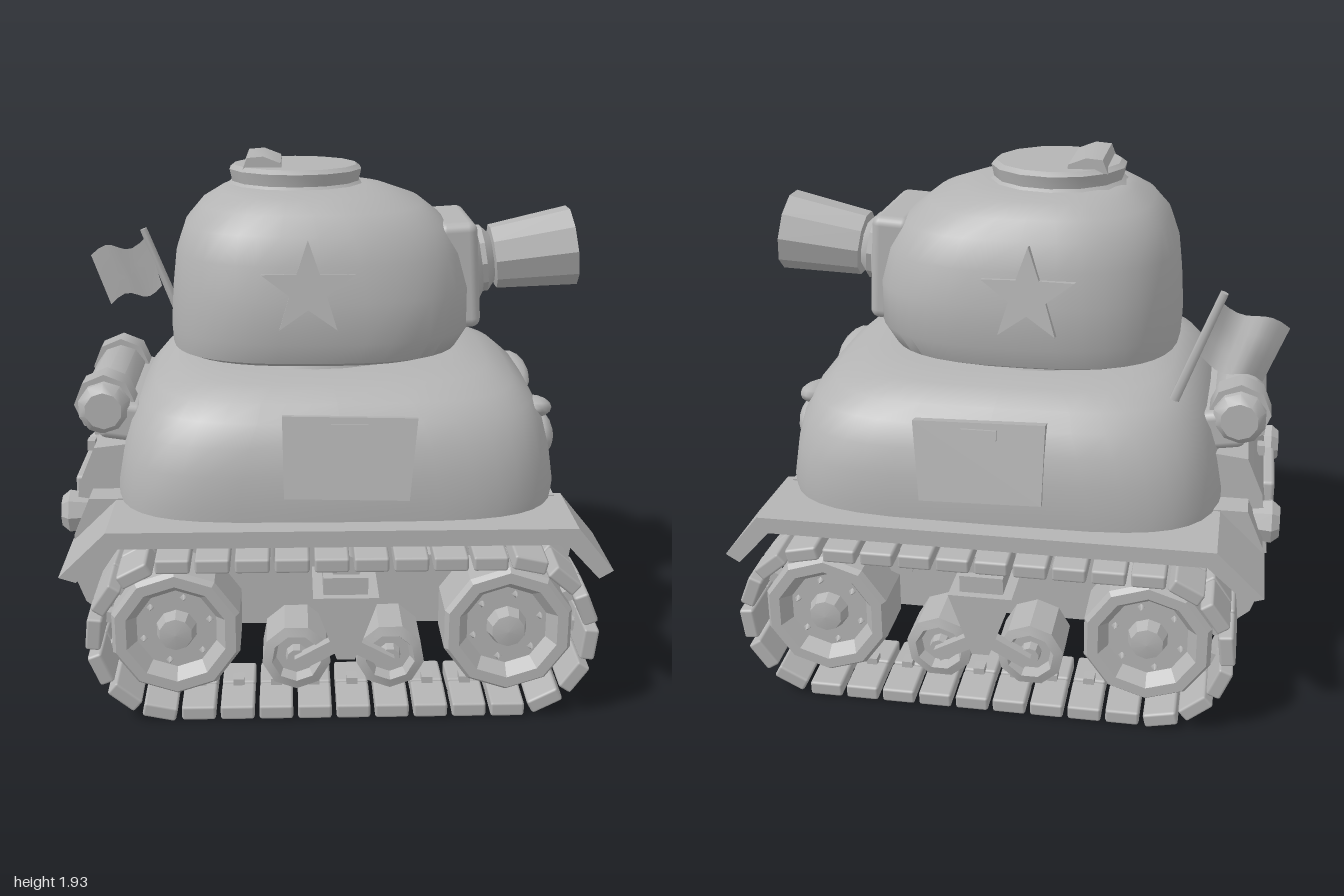
import * as THREE from 'three';
import { toCreasedNormals } from 'three/addons/utils/BufferGeometryUtils.js';
import { RoundedBoxGeometry } from 'three/addons/geometries/RoundedBoxGeometry.js';

const grey = new THREE.MeshStandardMaterial({ color: 0xb4b4b4 });
grey.name = 'plain grey';
const greyThin = grey.clone();
greyThin.name = 'plain grey cloth';
greyThin.side = THREE.DoubleSide;

const V2 = (p) => p.map(([x, y]) => new THREE.Vector2(x, y));

// Stack of superellipse rings [y, xMin, xMax, zHalf, exponent], capped at both ends
function loft(rings, seg = 40) {
  const first = rings[0], last = rings[rings.length - 1];
  const cap = (r) => [r[0], (r[1] + r[2]) / 2 - 1e-4, (r[1] + r[2]) / 2 + 1e-4, 1e-4, 2];
  const all = [cap(first), ...rings, cap(last)];
  const pos = [], idx = [];
  const pw = (v, n) => Math.sign(v) * Math.abs(v) ** (2 / n);
  for (const [y, x0, x1, zh, n] of all)
    for (let j = 0; j < seg; j++) {
      const t = (j / seg) * Math.PI * 2;
      pos.push((x0 + x1) / 2 + ((x1 - x0) / 2) * pw(Math.cos(t), n), y, zh * pw(Math.sin(t), n));
    }
  for (let i = 0; i < all.length - 1; i++)
    for (let j = 0; j < seg; j++) {
      const a = i * seg + j, b = i * seg + ((j + 1) % seg);
      idx.push(a, a + seg, b, b, a + seg, b + seg);
    }
  const g = new THREE.BufferGeometry();
  g.setAttribute('position', new THREE.Float32BufferAttribute(pos, 3));
  g.setIndex(idx);
  return toCreasedNormals(g, 0.75);
}

// Side profile in x/y, extruded evenly about z = 0
function slab(points, depth) {
  const g = new THREE.ExtrudeGeometry(new THREE.Shape(V2(points)), { depth, bevelEnabled: false });
  return toCreasedNormals(g.translate(0, 0, -depth / 2), 0.5);
}
const lathe = (points, seg, crease = 0.5) => toCreasedNormals(new THREE.LatheGeometry(V2(points), seg), crease);
const box = (x, y, z) => new THREE.BoxGeometry(x, y, z);

export function createModel() {
  const root = new THREE.Group();
  const add = (name, geo, x = 0, y = 0, z = 0, rx = 0, ry = 0, rz = 0, parent = root) => {
    const m = new THREE.Mesh(geo, grey);
    m.name = name;
    m.position.set(x, y, z);
    m.rotation.set(rx, ry, rz);
    parent.add(m);
    return m;
  };

  // Hull
  add('upperHull', loft([
    [0.66, -0.79, 0.85, 0.735, 4.5], [0.76, -0.79, 0.86, 0.74, 4.5], [0.88, -0.77, 0.845, 0.733, 4.3],
    [0.98, -0.74, 0.82, 0.71, 4.2], [1.06, -0.70, 0.78, 0.675, 4], [1.12, -0.65, 0.71, 0.625, 4],
    [1.165, -0.58, 0.62, 0.54, 3.6], [1.185, -0.48, 0.5, 0.42, 3],
  ]));
  add('lowerHull', slab([
    [-0.74, 0.21], [0.66, 0.21], [0.77, 0.25], [0.85, 0.34], [0.885, 0.45], [0.885, 0.6], [0.84, 0.72],
    [-0.88, 0.72], [-0.94, 0.58], [-0.95, 0.42], [-0.91, 0.31], [-0.83, 0.24],
  ], 1.0));
  add('rearPlate', slab([[-0.96, 0.5], [-0.7, 0.5], [-0.7, 0.9], [-0.87, 0.88], [-0.93, 0.74]], 0.78));
  add('rearHatch', new RoundedBoxGeometry(0.05, 0.14, 0.34, 2, 0.015), -0.955, 0.62, 0);
  for (const z of [-0.1, 0.1]) add('rearBolt', box(0.03, 0.04, 0.05), -0.92, 0.8, z);

  // Rolled luggage on the rear deck
  add('bedroll', lathe([[0, -0.38], [0.07, -0.38], [0.1, -0.35], [0.1, 0.35], [0.07, 0.38], [0, 0.38]], 10, 0.8),
    -0.83, 1.02, 0, Math.PI / 2);
  add('rollShelf', new RoundedBoxGeometry(0.16, 0.15, 0.72, 2, 0.03), -0.77, 0.97, 0, 0, 0, -0.15);
  for (const s of [1, -1]) {
    add('rollStrap', new THREE.CylinderGeometry(0.115, 0.115, 0.11, 8), -0.83, 1.03, s * 0.27, Math.PI / 2);
    add('tailLight', lathe([[0, -0.06], [0.07, -0.06], [0.085, 0.03], [0.06, 0.06], [0.045, 0.04], [0, 0.04]], 8),
      -0.94, 0.62, s * 0.36, 0, 0, Math.PI / 2);
  }

  // Front housings, ribs and face
  for (const s of [1, -1]) {
    add('frontHousing', slab([[0.55, 0.18], [0.72, 0.18], [0.84, 0.26], [0.9, 0.4], [0.92, 0.55],
      [0.87, 0.6], [0.55, 0.6]], 0.19), 0, 0, s * 0.4);
    add('frontFlange', slab([[0.6, 0.2], [0.8, 0.2], [0.9, 0.35], [0.925, 0.44], [0.89, 0.56], [0.6, 0.56]], 0.02),
      0, 0, s * 0.295);
    add('frontRib', slab([[0.66, 0.2], [0.79, 0.24], [0.88, 0.33], [0.905, 0.43], [0.8, 0.43]], 0.065), 0, 0, s * 0.165);
    const eye = add('eye', new THREE.SphereGeometry(1, 16, 10), 0.81, 0.885, s * 0.26);
    eye.scale.set(0.06, 0.085, 0.13);
    const brow = add('eyebrow', new THREE.SphereGeometry(1, 14, 8), 0.785, 0.985, s * 0.24, -s * 0.25);
    brow.scale.set(0.075, 0.045, 0.175);
    add('cheekLine', box(0.02, 0.075, 0.012), 0.835, 0.74, s * 0.37, -s * 0.45);
  }
  const lip = new THREE.CatmullRomCurve3([[-0.08, 0.72], [-0.04, 0.745], [0.03, 0.75], [0.07, 0.715]]
    .map(([z, y]) => new THREE.Vector3(0.857, y, z)));
  add('mouth', new THREE.TubeGeometry(lip, 12, 0.014, 6));

  // Side doors
  for (const s of [1, -1]) {
    const door = new THREE.Group();
    door.name = 'sideDoor';
    door.position.set(0.07, 0.945, s * 0.708);
    door.rotation.x = -s * 0.2;
    root.add(door);
    add('doorPanel', slab([[-0.23, -0.14], [0.21, -0.15], [0.24, 0.14], [-0.235, 0.15]], 0.05), 0, 0, 0, 0, 0, 0, door);
    add('doorHandle', box(0.13, 0.035, 0.02), 0, 0.105, s * 0.03, 0, 0, 0, door);
  }

  // Turret
  add('turretRing', new THREE.CylinderGeometry(0.4, 0.42, 0.06, 24), -0.04, 1.19, 0);
  add('turret', loft([
    [1.205, -0.55, 0.46, 0.44, 2.7], [1.225, -0.585, 0.51, 0.485, 2.8], [1.3, -0.59, 0.555, 0.51, 2.8],
    [1.45, -0.58, 0.555, 0.505, 2.8], [1.58, -0.565, 0.52, 0.485, 2.8], [1.68, -0.53, 0.46, 0.455, 2.8],
    [1.75, -0.47, 0.37, 0.41, 2.7], [1.795, -0.4, 0.25, 0.34, 2.4], [1.815, -0.36, 0.16, 0.27, 2],
  ]));
  add('hatchRim', lathe([[0, 0], [0.28, 0], [0.245, 0.03], [0.255, 0.075], [0.235, 0.09], [0, 0.09]], 14), -0.11, 1.795, -0.01);
  add('hatchHandle', slab([[-0.31, 1.87], [-0.16, 1.87], [-0.165, 1.9], [-0.23, 1.925], [-0.29, 1.92]], 0.31), 0, 0, -0.025);

  // Five-pointed badges on the turret sides
  const star = [];
  for (let i = 0; i < 10; i++) {
    const r = i % 2 ? 0.07 : 0.175, a = Math.PI / 2 + (i * Math.PI) / 5;
    star.push([r * Math.cos(a), r * Math.sin(a)]);
  }
  for (const s of [1, -1]) add('star', slab(star, 0.05), -0.07, 1.5, s * 0.497, -s * 0.14);

  // Gun
  add('mantlet', new RoundedBoxGeometry(0.15, 0.4, 0.48, 3, 0.035), 0.5, 1.49, 0, 0, 0, 0.06);
  add('gunBarrel', lathe([
    [0, 0], [0.17, 0], [0.175, 0.05], [0.13, 0.08], [0.13, 0.1], [0.095, 0.13], [0.125, 0.135], [0.155, 0.445],
    [0.1, 0.455], [0.09, 0.28], [0, 0.28],
  ], 10), 0.52, 1.505, 0, 0, 0, -Math.PI / 2 + 0.14);

  // Flag
  add('flagPole', new THREE.CylinderGeometry(0.016, 0.02, 0.43, 6), -0.675, 1.35, -0.51, 0, 0, 0.37);
  const cloth = new THREE.PlaneGeometry(1, 1, 8, 3);
  const cp = cloth.attributes.position;
  for (let i = 0; i < cp.count; i++) {
    const u = 0.5 - cp.getX(i), v = 0.5 - cp.getY(i);
    cp.setXYZ(i, -0.74 - 0.24 * u + v * (0.06 + 0.02 * u), 1.52 - 0.09 * u - 0.21 * v - 0.025 * Math.sin(u * 6),
      -0.51 + 0.025 * Math.sin(u * 6 + v));
  }
  cloth.computeVertexNormals();
  add('flag', cloth).material = greyThin;

  // Running gear
  const fender = slab([[-0.95, 0.55], [-0.78, 0.715], [0.87, 0.715], [1.0, 0.555], [0.95, 0.525],
    [0.83, 0.655], [-0.75, 0.655], [-0.89, 0.53]], 0.35);
  const bigWheel = lathe([[0, -0.12], [0.225, -0.12], [0.24, -0.1], [0.24, 0.1], [0.225, 0.12], [0.185, 0.12],
    [0.15, 0.07], [0.075, 0.07], [0.06, 0.12], [0, 0.13]], 10, 0.3);
  const smallWheel = lathe([[0, -0.1], [0.125, -0.1], [0.125, 0.09], [0.09, 0.1], [0.075, 0.06], [0.04, 0.06],
    [0.035, 0.1], [0, 0.1]], 9, 0.3);
  const roller = new THREE.CylinderGeometry(0.055, 0.055, 0.22, 8);
  const bracket = slab([[0.025, 0.21], [0.09, 0.21], [0.175, 0.45], [-0.06, 0.45]], 0.28);
  const shoe = new RoundedBoxGeometry(0.122, 0.055, 0.165, 1, 0.01);
  const x0 = -0.55, x1 = 0.64, R = 0.285, yc = 0.315, L = x1 - x0;
  const loop = 2 * L + 2 * Math.PI * R, links = 30;

  for (const s of [1, -1]) {
    const side = new THREE.Group();
    side.name = s > 0 ? 'frontSideTrack' : 'backSideTrack';
    root.add(side);
    const put = (n, g, x, y, z, rx = 0, rz = 0) => add(n, g, x, y, s * z, rx, 0, rz, side);
    put('fender', fender, 0, 0, 0.645);
    for (const x of [x0, x1]) {
      put('roadWheel', bigWheel, x, yc, 0.68, s * Math.PI / 2);
      put('axle', new THREE.CylinderGeometry(0.1, 0.1, 0.2, 10), x, yc, 0.52, Math.PI / 2);
      for (let i = 0; i < 6; i++) {
        const a = (i / 6) * Math.PI * 2 + 0.3;
        put('wheelBolt', new THREE.ConeGeometry(0.017, 0.03, 4), x + 0.125 * Math.cos(a), yc + 0.125 * Math.sin(a), 0.76,
          s * Math.PI / 2);
      }
    }
    for (const x of [-0.12, 0.22]) {
      put('smallWheel', smallWheel, x, 0.2, 0.67, s * Math.PI / 2);
      put('suspensionArm', box(0.19, 0.05, 0.04), (x + 0.055) / 2, 0.235, 0.78, 0, x < 0 ? 0.5 : -0.5);
    }
    put('bracket', bracket, 0, 0, 0.66);
    put('bracketCap', box(0.16, 0.07, 0.3), 0.057, 0.48, 0.62);
    for (const x of [-0.24, 0.06, 0.36]) put('returnRoller', roller, x, 0.535, 0.63, Math.PI / 2);

    // Track shoes follow a stadium-shaped loop
    for (let i = 0; i < links; i++) {
      let d = (i / links) * loop, x, y, a;
      if (d < L) { x = x0 + d; y = yc + R; a = 0; }
      else if ((d -= L) < Math.PI * R) { a = -d / R; x = x1 - R * Math.sin(a); y = yc + R * Math.cos(a); }
      else if ((d -= Math.PI * R) < L) { x = x1 - d; y = yc - R; a = Math.PI; }
      else { a = Math.PI - (d - L) / R; x = x0 - R * Math.sin(a); y = yc + R * Math.cos(a); }
      for (const k of [-1, 1]) put('trackShoe', shoe, x, y, 0.682 + k * 0.084, k * s * 0.05, a);
      put('guideTooth', box(0.04, 0.05, 0.05), x + 0.03 * Math.sin(a), y - 0.03 * Math.cos(a), 0.682, 0, a);
    }
  }
  return root;
}
